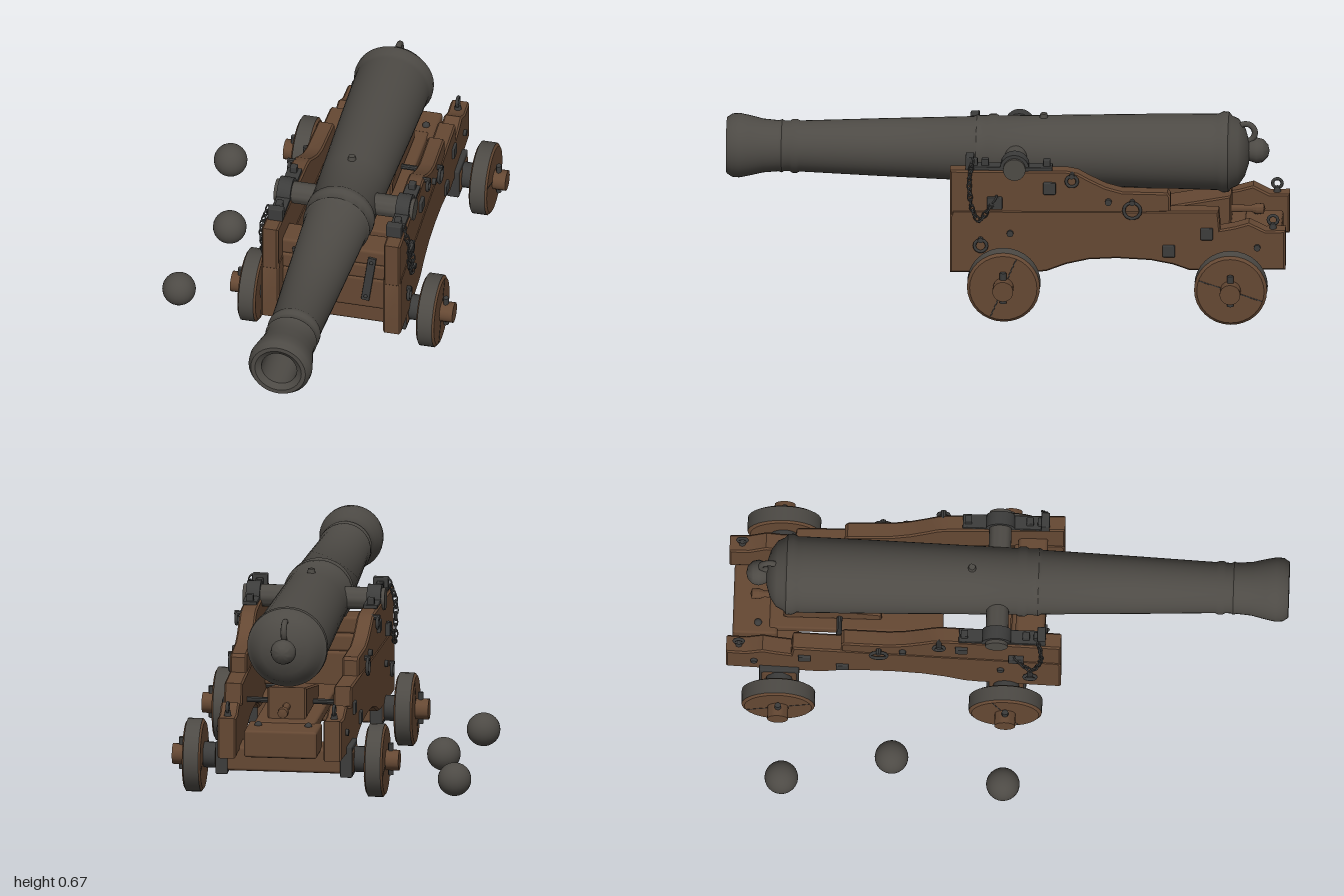
import * as THREE from 'three';
import { toCreasedNormals } from 'three/addons/utils/BufferGeometryUtils.js';
import { RoundedBoxGeometry } from 'three/addons/geometries/RoundedBoxGeometry.js';

const material = (name, color) => {
  const m = new THREE.MeshStandardMaterial({ color });
  m.name = name;
  return m;
};

export function createModel() {
  const iron = material('iron', 0x4d4a45);
  const darkIron = material('dark iron', 0x3c3c3b);
  const wood = material('wood', 0x654833);
  const root = new THREE.Group();
  root.name = 'cannonWithShot';
  const cannon = new THREE.Group();
  cannon.name = 'cannon';
  cannon.position.x = 0.127;
  root.add(cannon);

  const add = (name, geo, mat, x = 0, y = 0, z = 0, parent = cannon) => {
    const m = new THREE.Mesh(geo, mat);
    m.name = name;
    m.position.set(x, y, z);
    parent.add(m);
    return m;
  };
  const box = (name, mat, w, h, d, x, y, z, r = 0.006) =>
    add(name, new RoundedBoxGeometry(w, h, d, 1, r), mat, x, y, z);
  const rodX = (name, mat, r, len, x, y, z, sides = 20) =>
    add(name, toCreasedNormals(new THREE.CylinderGeometry(r, r, len, sides).rotateZ(Math.PI / 2), 0.7), mat, x, y, z);
  const lathe = (pts, sides) =>
    toCreasedNormals(new THREE.LatheGeometry(pts.map(p => new THREE.Vector2(p[0], p[1])), sides), 0.6);
  const ring = (name, r, t, x, y, z, turn = 0) => {
    const m = add(name, new THREE.TorusGeometry(r, t, 6, 14), darkIron, x, y, z);
    m.rotation.y = turn;
    return m;
  };

  // Barrel: breech to muzzle, then back into the bore
  const barrel = [
    [0, -0.865], [0.04, -0.862], [0.085, -0.848], [0.118, -0.825], [0.13, -0.8], [0.143, -0.79],
    [0.145, -0.77], [0.136, -0.752], [0.136, -0.73], [0.132, -0.5], [0.123, -0.15], [0.119, 0.03],
    [0.125, 0.04], [0.125, 0.06], [0.119, 0.07], [0.119, 0.1], [0.122, 0.108], [0.115, 0.12], [0.103, 0.45],
    [0.091, 0.74], [0.096, 0.75], [0.096, 0.765], [0.09, 0.775], [0.09, 0.795], [0.095, 0.803], [0.091, 0.815],
    [0.096, 0.87], [0.108, 0.92], [0.115, 0.955], [0.113, 0.98], [0.1, 1], [0.085, 1], [0.065, 0.985],
    [0.062, 0.75], [0, 0.75],
  ];
  add('barrel', lathe(barrel, 40).rotateX(Math.PI / 2), iron, 0, 0.528, 0);
  const knob = [[0, -0.935], [0.022, -0.93], [0.041, -0.912], [0.046, -0.89], [0.039, -0.867], [0.026, -0.85], [0.036, -0.835], [0.06, -0.82]];
  add('breechKnob', lathe(knob, 20).rotateX(Math.PI / 2), iron, 0, 0.535, 0);
  add('breechLoop', new THREE.TorusGeometry(0.033, 0.011, 8, 20).rotateY(Math.PI / 2), iron, 0, 0.602, -0.85);
  add('ventBoss', new THREE.CylinderGeometry(0.012, 0.016, 0.02, 10), iron, 0, 0.655, -0.13);
  rodX('trunnions', iron, 0.04, 0.51, 0, 0.54, -0.035, 24);

  // Side cheeks: two stacked planks, converging slightly to the rear
  const plank = (pts, width) => {
    const shape = new THREE.Shape(pts.map(p => new THREE.Vector2(p[0], p[1])));
    const b = 0.006;
    return new THREE.ExtrudeGeometry(shape, {
      depth: width - 2 * b, bevelSize: b, bevelThickness: b, bevelOffset: -b, bevelSegments: 1,
    }).translate(0, 0, b - width / 2).rotateY(-Math.PI / 2);
  };
  const lower = [
    [0.195, 0.15], [0.195, 0.36], [0.185, 0.385], [-0.762, 0.385], [-0.768, 0.315], [-0.82, 0.325],
    [-0.87, 0.34], [-0.93, 0.31], [-1, 0.312], [-1, 0.165], [-0.66, 0.16], [-0.6, 0.182],
    [-0.52, 0.198], [-0.4, 0.205], [-0.3, 0.2], [-0.22, 0.182], [-0.15, 0.155], [-0.1, 0.15],
  ];
  const upper = [
    [0.195, 0.365], [0.195, 0.535], [-0.22, 0.533], [-0.26, 0.525], [-0.3, 0.502], [-0.36, 0.472],
    [-0.42, 0.455], [-0.58, 0.452], [-0.59, 0.44], [-0.59, 0.38], [0.18, 0.345],
  ];
  const cheekX = z => 0.218 + 0.028 * z;
  const cheek = (name, pts, s, width) => {
    const g = plank(pts, width);
    const p = g.attributes.position;
    for (let i = 0; i < p.count; i++) p.setX(i, p.getX(i) + s * cheekX(p.getZ(i)));
    g.computeVertexNormals();
    add(name, toCreasedNormals(g, 0.5), wood);
  };

  for (const s of [-1, 1]) {
    const side = s < 0 ? 'right' : 'left';
    cheek(side + 'LowerCheek', lower, s, 0.066);
    cheek(side + 'UpperCheek', upper, s, 0.06);

    // Cap over the trunnion, with its strap and bolts
    box(side + 'CapStrap', darkIron, 0.052, 0.014, 0.3, s * 0.217, 0.54, -0.02, 0.003);
    rodX(side + 'TrunnionCap', darkIron, 0.052, 0.05, s * 0.217, 0.54, -0.035);
    for (const z of [-0.15, 0.07, 0.11]) box(side + 'CapBolt', darkIron, 0.026, 0.035, 0.026, s * 0.217, 0.553, z, 0.004);
    box(side + 'FrontClasp', darkIron, 0.056, 0.05, 0.03, s * 0.217, 0.558, 0.125, 0.004);

    // Chain hanging down the cheek and back up to its key
    const chain = new THREE.CatmullRomCurve3([
      [0.25, 0.565, 0.115], [0.268, 0.5, 0.125], [0.27, 0.4, 0.115], [0.272, 0.355, 0.09], [0.268, 0.39, 0.06], [0.258, 0.43, 0.035],
    ].map(p => new THREE.Vector3(s * p[0], p[1], p[2])));
    for (let i = 0; i < 16; i++) {
      const link = add(side + 'ChainLink', new THREE.TorusGeometry(0.011, 0.0036, 5, 10).scale(0.75, 1.35, 1), darkIron);
      link.position.copy(chain.getPointAt(i / 15));
      link.quaternion.setFromUnitVectors(new THREE.Vector3(0, 1, 0), chain.getTangentAt(i / 15));
      link.rotateY(i % 2 ? 0.2 : Math.PI / 2);
    }
    box(side + 'ChainKey', darkIron, 0.02, 0.045, 0.055, s * 0.255, 0.415, 0.035, 0.004);

    // Rings, plates and bolt heads on the outer face
    for (const [y, z, r] of [[0.39, -0.455, 0.03], [0.255, 0.085, 0.022], [0.5, -0.24, 0.02]]) {
      ring(side + 'CheekRing', r, 0.006, s * (cheekX(z) + 0.042), y, z, Math.PI / 2);
      rodX(side + 'RingBolt', darkIron, 0.01, 0.03, s * (cheekX(z) + 0.035), y + r, z, 8);
    }
    for (const [y, z] of [[0.235, -0.585], [0.3, -0.72], [0.47, -0.16]])
      box(side + 'BoltPlate', darkIron, 0.02, 0.045, 0.045, s * (cheekX(z) + 0.032), y, z, 0.004);
    for (const [y, z] of [[0.42, -0.37], [0.3, -0.02], [0.25, -0.9]])
      rodX(side + 'BoltHead', darkIron, 0.012, 0.02, s * (cheekX(z) + 0.034), y, z, 10);
    ring(side + 'RearEye', 0.017, 0.006, s * cheekX(-0.955), 0.342, -0.955, Math.PI / 2);
    add(side + 'RearEyeBase', new THREE.CylinderGeometry(0.01, 0.014, 0.025, 8), darkIron, s * cheekX(-0.955), 0.318, -0.955);

    // Sloping iron strap on the front transom
    const strap = box(side + 'FrontStrap', darkIron, 0.03, 0.19, 0.009, s * 0.126, 0.335, 0.139, 0.002);
    strap.rotation.z = -s * 0.14;
    for (const d of [-0.075, 0.075])
      add(side + 'StrapBolt', new THREE.SphereGeometry(0.007, 8, 6), darkIron, s * (0.126 + d * 0.14), 0.335 + d, 0.145);
  }

  // Front transom in three boards, rear step and quoin bed
  for (const [y, h, d] of [[0.267, 0.13, 0.125], [0.361, 0.064, 0.12], [0.423, 0.064, 0.105]])
    box('frontTransom', wood, 0.4, h, d, 0, y, 0.135 - d / 2, 0.012);
  box('rearTransom', wood, 0.262, 0.1, 0.16, 0, 0.215, -0.9, 0.01);
  for (const x of [-0.09, 0.09])
    add('rearTransomBolt', new THREE.SphereGeometry(0.014, 10, 8), darkIron, x, 0.265, -0.89);
  box('quoinBed', wood, 0.22, 0.04, 0.62, 0, 0.25, -0.54, 0.008);
  add('quoin', plank([[-0.8, 0.27], [-0.45, 0.27], [-0.45, 0.32], [-0.8, 0.385]], 0.14), wood);
  const handle = lathe([[0, -0.92], [0.018, -0.915], [0.02, -0.89], [0.012, -0.87], [0.014, -0.79]], 12);
  add('quoinHandle', handle.rotateX(Math.PI / 2), wood, 0, 0.315, 0);
  rodX('crossBolt', darkIron, 0.01, 0.46, 0, 0.29, -0.6, 10);
  rodX('frontCrossBolt', darkIron, 0.01, 0.46, 0, 0.19, 0.06, 10);

  // Axles and wheels
  const wheelShape = [[0, -0.033], [0.12, -0.033], [0.13, -0.025], [0.13, 0.025], [0.12, 0.033], [0, 0.033]];
  for (const z of [0, -0.81]) {
    const end = z < -0.5 ? 'rear' : 'front';
    box(end + 'Axle', wood, 0.5, 0.09, 0.13, 0, 0.135, z, 0.012);
    rodX(end + 'AxleTree', wood, 0.037, 0.814, 0, 0.133, z);
    for (const s of [-1, 1]) {
      box(end + 'AxleBracket', darkIron, 0.044, 0.115, 0.142, s * 0.224, 0.136, z, 0.005);
      rodX(end + 'AxleCollar', darkIron, 0.046, 0.06, s * 0.27, 0.133, z);
      add(end + 'Wheel', lathe(wheelShape, 32).rotateZ(Math.PI / 2), wood, s * 0.327, 0.131, z);
      const tire = new THREE.CylinderGeometry(0.131, 0.131, 0.054, 32, 1, true);
      add(end + 'Tire', tire.rotateZ(Math.PI / 2), iron, s * 0.327, 0.131, z);
      const seam = box(end + 'WheelSeam', darkIron, 0.068, 0.236, 0.004, s * 0.327, 0.131, z, 0.001);
      seam.rotation.x = z < -0.5 ? 1.25 : -0.4;
      const pin = add(end + 'LinchPin', new THREE.CylinderGeometry(0.01, 0.01, 0.115, 8), darkIron, s * 0.376, 0.137, z);
      pin.scale.z = 1.2;
    }
  }

  // Three round shot lying beside the carriage
  for (const [x, z] of [[-0.475, 0], [-0.385, -0.4], [-0.475, -0.79]])
    add('shot', new THREE.SphereGeometry(0.06, 24, 16), iron, x, 0.065, z, root);

  return root;
}
